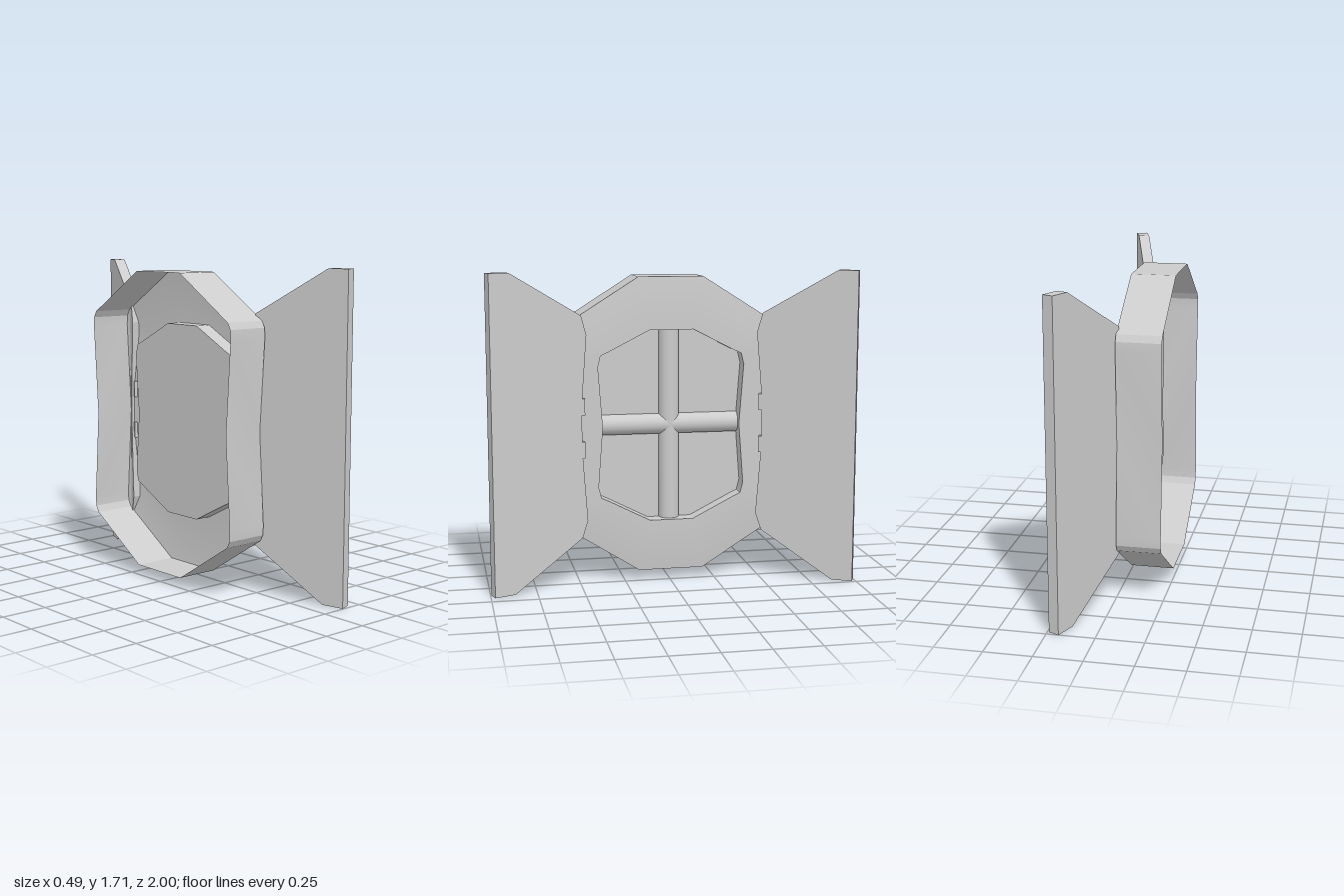
import * as THREE from 'three';
import { toCreasedNormals } from 'three/addons/utils/BufferGeometryUtils.js';

const CY = 0.865, CZ = -0.008;
const grey = new THREE.MeshStandardMaterial({ color: 0xcccccc, side: THREE.DoubleSide });

function addMesh(parent, name, geometry) {
  const mesh = new THREE.Mesh(geometry, grey);
  mesh.name = name;
  parent.add(mesh);
  return mesh;
}

// Mirror a quarter outline (side middle to top) into a full loop
function fullLoop(quarter) {
  const upper = [...quarter, ...quarter.slice().reverse().map(([h, v]) => [-h, v])];
  const lower = upper.slice(1, -1).reverse().map(([h, v]) => [h, -v]);
  return [...upper, ...lower];
}

// Skin a series of matching loops, each placed at its own x
function loft(rings) {
  const pos = [];
  const n = rings[0].loop.length;
  const point = (r, j) => {
    const [h, v] = rings[r].loop[j % n];
    return [rings[r].x, CY + v, CZ - h];
  };
  for (let r = 0; r < rings.length - 1; r++) {
    for (let j = 0; j < n; j++) {
      const a = point(r, j), b = point(r, j + 1), c = point(r + 1, j + 1), d = point(r + 1, j);
      pos.push(...a, ...b, ...c, ...a, ...c, ...d);
    }
  }
  const g = new THREE.BufferGeometry();
  g.setAttribute('position', new THREE.Float32BufferAttribute(pos, 3));
  g.computeVertexNormals();
  return toCreasedNormals(g, 0.42);
}

export function createModel() {
  const model = new THREE.Group();
  model.name = 'shutteredWindow';

  // Pinched frame: outer wall, softly domed face and reveal, open at the back
  const outer = fullLoop([[0.54, 0], [0.573, 0.49], [0.57, 0.54], [0.55, 0.575], [0.178, 0.81]]);
  const inner = fullLoop([[0.378, 0], [0.403, 0.33], [0.388, 0.39], [0.345, 0.41], [0.12, 0.525]]);
  const crest = outer.map(([h, v], i) => [h * 0.5 + inner[i][0] * 0.5, v * 0.5 + inner[i][1] * 0.5]);
  addMesh(model, 'frame', loft([
    { x: -0.25, loop: outer },
    { x: -0.015, loop: outer },
    { x: 0.002, loop: crest },
    { x: 0.004, loop: inner },
    { x: -0.085, loop: inner },
  ]));

  // Window pane closing the reveal
  const paneShape = new THREE.Shape(inner.map(([h, v]) => new THREE.Vector2(h, v)));
  const pane = addMesh(model, 'pane', new THREE.ShapeGeometry(paneShape).rotateY(Math.PI / 2));
  pane.position.set(-0.085, CY, CZ);

  // Half-round glazing bars
  const bar = (name, length, vertical) => {
    const g = new THREE.CylinderGeometry(0.056, 0.056, length, 10, 1, false, 0, Math.PI);
    if (!vertical) g.rotateX(Math.PI / 2);
    const mesh = addMesh(model, name, g);
    mesh.position.set(-0.085, CY, CZ);
  };
  bar('verticalBar', 1.05, true);
  bar('horizontalBar', 0.76, false);

  // Flared shutters swung open, each with two hinges
  const thickness = 0.06;
  const outline = [[0.03, 1.475], [0, 1.37], [0.03, 1.0], [0.03, 0.75], [0, 0.36], [0.033, 0.265],
    [0.43, 0.003], [0.545, 0], [0.545, 1.71], [0.435, 1.71]];
  const shutterShape = new THREE.Shape(outline.map(([u, y]) => new THREE.Vector2(u, y)));
  const shutter = (name, x0, z0, x1, z1) => {
    const group = new THREE.Group();
    group.name = name;
    const along = new THREE.Vector3(x1 - x0, 0, z1 - z0).normalize();
    const up = new THREE.Vector3(0, 1, 0);
    const across = along.clone().cross(up);
    group.quaternion.setFromRotationMatrix(new THREE.Matrix4().makeBasis(along, up, across));
    group.position.set(x0, 0, z0);
    const back = Math.sign(-across.x);
    const board = new THREE.ExtrudeGeometry(shutterShape, { depth: thickness, bevelEnabled: false });
    if (back < 0) board.translate(0, 0, -thickness);
    addMesh(group, 'shutterBoard', board);
    for (const y of [0.75, 0.985]) {
      const hinge = addMesh(group, 'hinge', new THREE.BoxGeometry(0.03, 0.09, 0.05));
      hinge.position.set(0.027, y, back * 0.023);
    }
    model.add(group);
  };
  shutter('leftShutter', 0.025, 0.458, 0.19, 0.977);
  shutter('rightShutter', 0.02, -0.48, 0.24, -0.975);

  return model;
}
